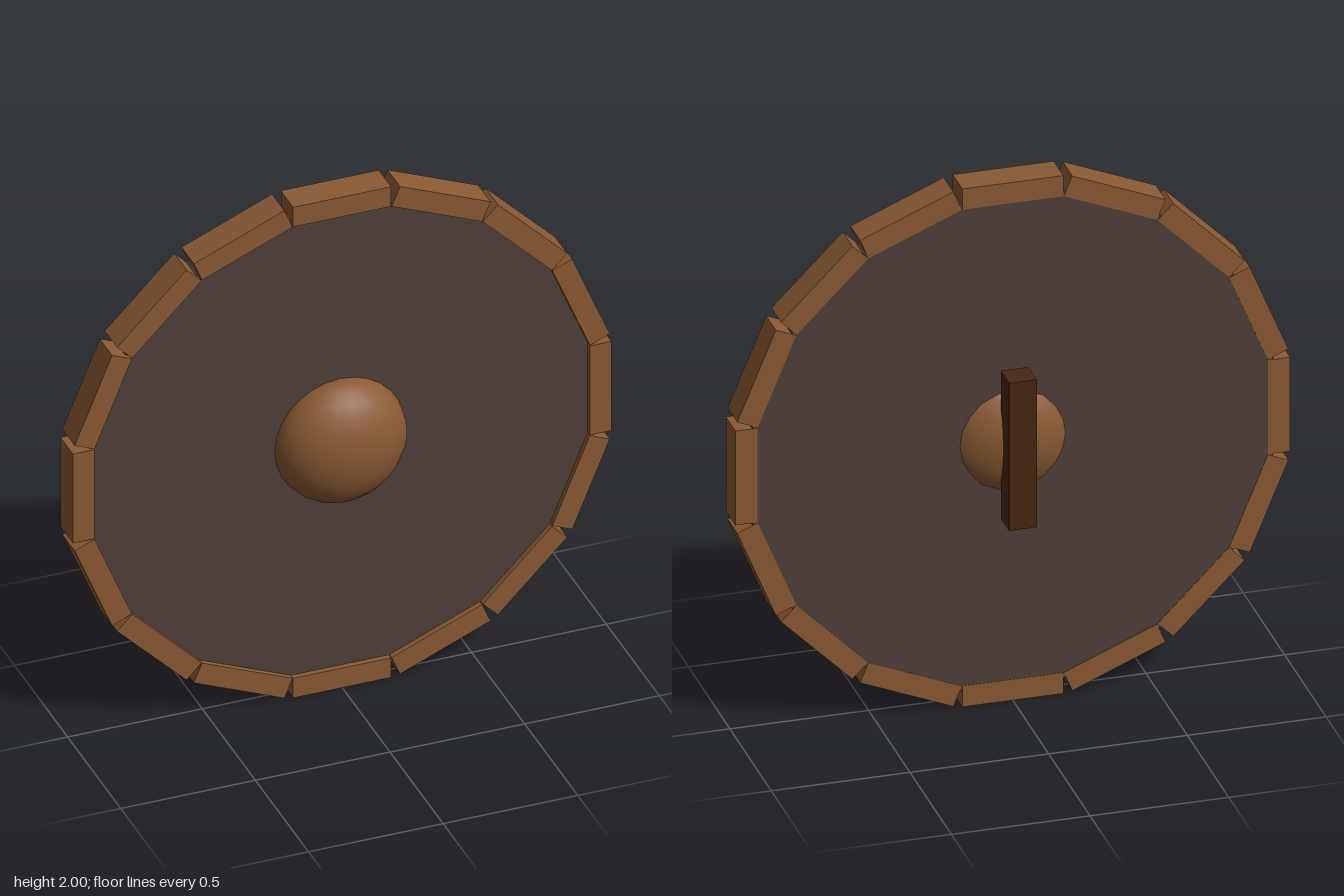
import * as THREE from 'three';

const SIDES = 16;

export function createModel() {
  const wood = new THREE.MeshStandardMaterial({ color: 0x8a5a33 });
  wood.name = 'warm wood';
  const board = new THREE.MeshStandardMaterial({ color: 0x4f4039 });
  board.name = 'dark board';
  const grip = new THREE.MeshStandardMaterial({ color: 0x472811 });
  grip.name = 'dark grip wood';

  const model = new THREE.Group();
  model.name = 'roundShield';

  const add = (name, geometry, material, parent = model) => {
    const mesh = new THREE.Mesh(geometry, material);
    mesh.name = name;
    parent.add(mesh);
    return mesh;
  };

  // Sixteen-sided board, corners falling in the gaps between rim blocks
  const disc = new THREE.CylinderGeometry(0.957, 0.957, 0.094, SIDES).toNonIndexed();
  disc.rotateY(Math.PI / SIDES);
  disc.rotateX(Math.PI / 2);
  disc.computeVertexNormals();
  add('board', disc, board).position.set(0, 1, -0.019);

  // Ring of rim blocks
  const rim = new THREE.Group();
  rim.name = 'rim';
  rim.position.set(0, 1, -0.009);
  model.add(rim);
  const block = new THREE.BoxGeometry(0.364, 0.08, 0.117);
  block.translate(0, 0.96, 0);
  for (let i = 0; i < SIDES; i++) {
    add('rimBlock', block, wood, rim).rotation.z = (i / SIDES) * Math.PI * 2;
  }

  // Flattened boss bulging through both faces
  const boss = new THREE.SphereGeometry(0.242, 20, 14);
  boss.scale(1, 1, 0.157 / 0.242);
  add('boss', boss, wood).position.set(0, 1.005, 0.03);

  // Upright hand grip on the back
  add('handle', new THREE.BoxGeometry(0.1, 0.57, 0.102), grip).position.set(0, 1.005, -0.14);

  return model;
}
